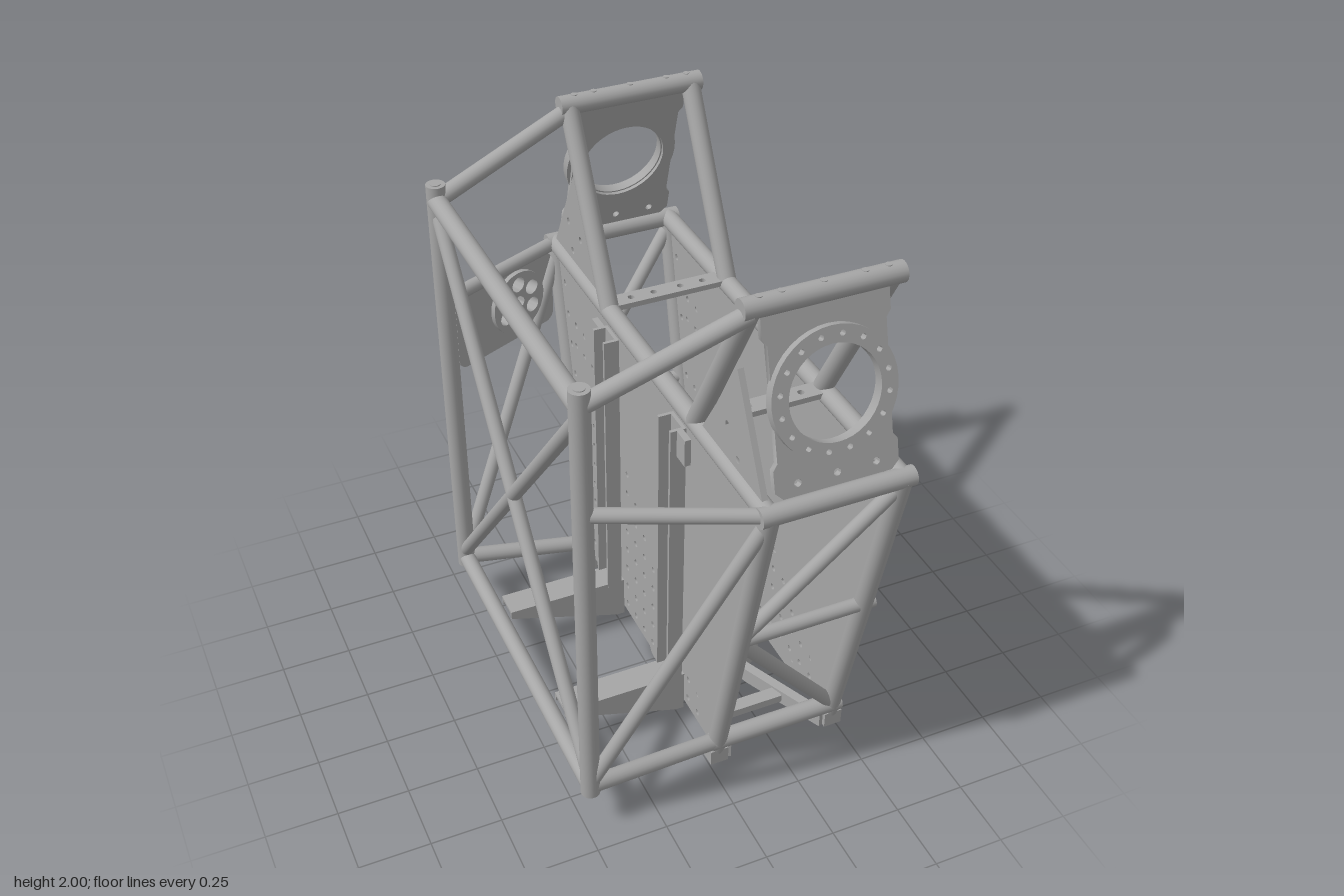
import * as THREE from 'three';
import { toCreasedNormals } from 'three/addons/utils/BufferGeometryUtils.js';

const metal = new THREE.MeshStandardMaterial({ color: 0xa6a6a6 });
metal.name = 'grey metal';

const XL = 0.02, XR = 0.465, XM = (XL + XR) / 2, R = 0.033, r = 0.025;
const v = (x, y, z) => new THREE.Vector3(x, y, z);
// z of the leaning end frames at height y
const frameZ = (y) => 0.85 + (y - 1.35) * 0.228;

export function createModel() {
  const model = new THREE.Group();
  model.name = 'tubularFrame';

  const add = (name, geometry, parent = model) => {
    const mesh = new THREE.Mesh(geometry, metal);
    mesh.name = name;
    parent.add(mesh);
    return mesh;
  };
  const tube = (name, a, b, radius = R) => {
    const d = b.clone().sub(a);
    const mesh = add(name, new THREE.CylinderGeometry(radius, radius, d.length(), 20));
    mesh.position.copy(a).addScaledVector(d, 0.5);
    mesh.quaternion.setFromUnitVectors(v(0, 1, 0), d.normalize());
    return mesh;
  };
  const box = (name, w, h, d, x, y, z) => {
    const mesh = add(name, new THREE.BoxGeometry(w, h, d));
    mesh.position.set(x, y, z);
    return mesh;
  };
  const polygon = (points) => new THREE.Shape(points.map(([x, y]) => new THREE.Vector2(x, y)));
  const hole = (shape, x, y, radius) =>
    shape.holes.push(new THREE.Path().absarc(x, y, radius, 0, Math.PI * 2, true));
  const disc = (radius) => new THREE.Shape().absarc(0, 0, radius, 0, Math.PI * 2, false);
  const plate = (shape, depth, segments = 5) => {
    const g = new THREE.ExtrudeGeometry(shape, { depth, bevelEnabled: false, curveSegments: segments });
    g.translate(0, 0, -depth / 2);
    return toCreasedNormals(g, 0.7);
  };
  // Plate facing sideways: the shape is given in (z, y)
  const sidePlate = (name, shape, depth, x, z = 0) => {
    const mesh = add(name, plate(shape, depth).rotateY(-Math.PI / 2));
    mesh.position.set(x, 0, z);
    return mesh;
  };

  // Perforated side panels
  const panel = polygon([[-0.562, 0.09], [0.562, 0.09], [0.85, 1.35], [-0.85, 1.35]]);
  for (let row = 0; row < 14; row++) {
    const y = 0.13 + row * 0.0885;
    for (let col = 0; col < 11; col++) {
      const z = 0.0385 + col * 0.077;
      if (z > frameZ(y) - 0.115) break;
      for (const s of [-1, 1]) hole(panel, s * z, y, 0.0125);
    }
  }
  for (let i = 0; i < 11; i++) {
    const y = 0.18 + i * 0.1165;
    for (const s of [-1, 1]) hole(panel, s * (frameZ(y) - 0.067), y, 0.0125);
  }
  for (const x of [XL, XR]) sidePlate('perforatedPanel', panel, 0.012, x);

  // Long top rails and the leaning supports
  for (const x of [XL, XR]) {
    tube('topRail', v(x, 1.35, -0.85), v(x, 1.35, 0.85));
    for (const s of [-1, 1]) {
      tube('cornerUpright', v(x, 1.35, s * 0.85), v(x, 0.08, s * frameZ(0.08)));
      tube('ringSupport', v(x, 1.965, s * 0.68), v(x, 1.35, s * 0.345));
      box('foot', 0.066, 0.06, 0.08, x, 0.076, s * 0.556);
    }
  }

  // Bottom skirt below the outer panel
  const skirt = polygon([[-0.595, 0.1], [-0.595, 0.045], [-0.23, 0.003], [0.23, 0.003], [0.595, 0.045], [0.595, 0.1]]);
  for (const s of [-1, 1]) for (const z of [0.27, 0.36, 0.49]) hole(skirt, s * z, 0.066, 0.011);
  sidePlate('bottomSkirt', skirt, 0.015, 0.48);

  // Top-plate with bolt holes between the rails
  const crossPlate = polygon([[-0.2, -0.034], [0.2, -0.034], [0.2, 0.034], [-0.2, 0.034]]);
  for (const x of [-0.135, -0.05, 0.05, 0.135]) hole(crossPlate, x, 0, 0.012);
  const crossGeometry = plate(crossPlate, 0.02).rotateX(Math.PI / 2);

  // Ring flange plate for both ends
  const flange = polygon([
    [-0.205, -0.27], [-0.18, -0.295], [0.18, -0.295], [0.205, -0.27], [0.205, -0.2], [0.19, -0.18],
    [0.19, 0.18], [0.205, 0.2], [0.205, 0.29], [-0.205, 0.29], [-0.205, 0.2], [-0.19, 0.18], [-0.19, -0.18], [-0.205, -0.2],
  ]);
  hole(flange, 0, 0, 0.155);
  for (const x of [-0.13, 0, 0.13]) hole(flange, x, -0.255, 0.012);
  const collar = disc(0.205);
  hole(collar, 0, 0, 0.15);
  for (let i = 0; i < 16; i++) {
    const a = ((i + 0.5) * Math.PI) / 8;
    hole(collar, 0.178 * Math.cos(a), 0.178 * Math.sin(a), 0.009);
  }
  const flangeGeometry = plate(flange, 0.022, 20);
  const collarGeometry = plate(collar, 0.034, 20);

  // Triangular gusset
  const gussetFor = (s) => {
    const g = polygon([[s * 0.63, 1.73], [s * 0.83, 1.36], [s * 0.4, 1.36]]);
    for (const [z, y] of [[0.58, 1.5], [0.655, 1.42], [0.69, 1.52]]) hole(g, s * z, y, 0.013);
    return g;
  };

  for (const s of [-1, 1]) {
    // Cross bars of the leaning end frames
    tube('upperBar', v(-0.015, 1.965, s * 0.68), v(0.5, 1.965, s * 0.68), 0.034);
    tube('shoulderBar', v(-0.015, 1.35, s * 0.85), v(0.5, 1.35, s * 0.85));
    tube('middleBar', v(XL, 0.725, s * frameZ(0.725)), v(0.503, 0.725, s * frameZ(0.725)), r);
    tube('bottomBar', v(-0.01, 0.135, s * frameZ(0.135)), v(0.495, 0.135, s * frameZ(0.135)));
    tube('upperBrace', v(XR, 1.32, s * frameZ(1.32)), v(XL, 0.74, s * frameZ(0.74)), r);
    tube('lowerBrace', v(XL, 0.71, s * frameZ(0.71)), v(XR, 0.14, s * frameZ(0.14)), r);
    for (const x of [0.04, 0.11, XM, 0.375, 0.45])
      tube('barBolt', v(x, 1.99, s * 0.68), v(x, 2, s * 0.68), 0.011);

    // Ring flange
    const ring = new THREE.Group();
    ring.name = 'ringFlange';
    ring.position.set(XM, 1.677, s * 0.76);
    ring.rotation.set(-0.27, s > 0 ? 0 : Math.PI, 0, 'YXZ');
    add('flangePlate', flangeGeometry, ring);
    add('flangeCollar', collarGeometry, ring).position.z = 0.018;
    model.add(ring);

    sidePlate('gusset', gussetFor(s), 0.02, XL);
    add('topCrossPlate', crossGeometry).position.set(XM, 1.36, s * 0.365);

    // Rear side frame with its post
    const post = (y) => v(-0.475, y, s * 0.63);
    tube('rearPost', post(0.16), post(1.8));
    tube('postCap', post(1.79), post(1.803), 0.018);
    tube('upperLink', post(1.74), v(XL, 1.945, s * 0.68), 0.03);
    tube('middleLink', post(1.35), v(XL, 1.35, s * 0.85), r);
    tube('lowerLink', post(0.19), v(XL, 0.135, s * frameZ(0.135)), 0.03);
    tube('sideBrace', post(0.2), v(XL, 1.32, s * frameZ(1.32)), r);
    tube('rearBrace', post(1.7), v(-0.475, 0.22, -s * 0.63), r);

    // Wedge bracket and upright channel
    const wedge = polygon([[-0.44, 0.225], [-0.44, 0.195], [-0.02, 0.06], [0.01, 0.06], [0.01, 0.225]]);
    for (const z of [0.225, 0.315])
      add('wedgeBracketSide', plate(wedge, 0.01)).position.z = s * z;
    box('wedgeBracketTop', 0.45, 0.012, 0.1, -0.215, 0.22, s * 0.27);
    box('channelBack', 0.012, 1.1, 0.1, -0.006, 0.76, s * 0.27);
    for (const z of [0.225, 0.315]) box('channelSide', 0.05, 1.1, 0.012, -0.03, 0.76, s * z);
    box('channelTab', 0.022, 0.1, 0.06, -0.022, 1.26, s * 0.35);

    // Arms of the bottom cross
    for (const m of [-1, 1]) {
      const a = v(XM + m * 0.19, 0, s * 0.58), b = v(XM + m * 0.05, 0, s * 0.19);
      const d = b.clone().sub(a), L = d.length();
      const arm = add('bottomArm', plate(polygon([[0, 0.045], [L * 0.85, 0.005], [L, 0.005], [L, 0.06], [0, 0.1]]), 0.035));
      arm.position.copy(a);
      arm.rotation.y = Math.atan2(-d.z, d.x);
    }
    box('bottomArmWeb', 0.22, 0.03, 0.05, XM, 0.055, s * 0.395);
  }

  // Rear cross tubes between the posts
  tube('rearTopTube', v(-0.475, 1.74, -0.63), v(-0.475, 1.74, 0.63));
  tube('rearBottomTube', v(-0.475, 0.19, -0.63), v(-0.475, 0.19, 0.63), 0.03);

  // Bottom ring
  const hub = disc(0.205);
  hole(hub, 0, 0, 0.168);
  for (let i = 0; i < 6; i++) {
    const a = (i * Math.PI) / 3 + Math.PI / 6;
    hole(hub, 0.187 * Math.cos(a), 0.187 * Math.sin(a), 0.009);
  }
  add('bottomRing', plate(hub, 0.055, 20).rotateX(Math.PI / 2)).position.set(XM, 0.035, 0);

  // Connector plate on the rear side frame
  const w = 0.235, h = 0.145, c = 0.04;
  const board = new THREE.Shape();
  board.absarc(w - c, h - c, c, 0, Math.PI / 2).absarc(c - w, h - c, c, Math.PI / 2, Math.PI);
  board.absarc(c - w, c - h, c, Math.PI, Math.PI * 1.5).absarc(w - c, c - h, c, Math.PI * 1.5, Math.PI * 2);
  hole(board, 0.05, 0.015, 0.11);
  const socket = disc(0.122);
  hole(socket, 0, 0, 0.025);
  for (let i = 0; i < 6; i++) {
    const a = (i * Math.PI) / 3 + Math.PI / 6;
    hole(socket, 0.074 * Math.cos(a), 0.074 * Math.sin(a), 0.029);
  }
  const connector = new THREE.Group();
  connector.name = 'connectorPanel';
  connector.position.set(-0.225, 1.185, -0.743);
  connector.rotation.y = 0.418;
  add('connectorBoard', plate(board, 0.014, 12), connector);
  add('connectorSocket', plate(socket, 0.05, 12), connector).position.set(0.05, 0.015, 0);
  model.add(connector);

  return model;
}
